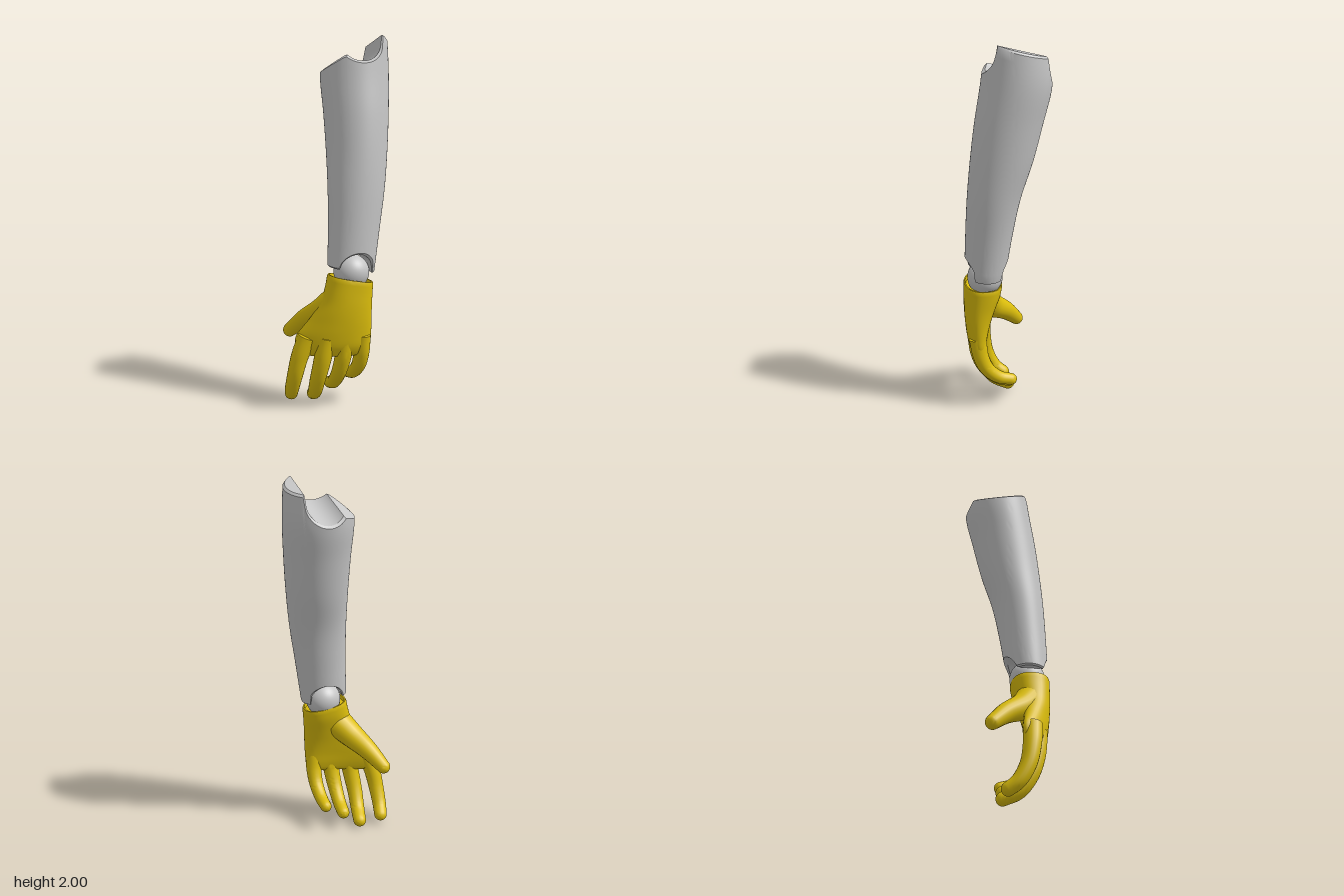
import * as THREE from 'three';
import { toCreasedNormals } from 'three/addons/utils/BufferGeometryUtils.js';

const V = (x, y, z) => new THREE.Vector3(x, y, z);

// Skin a list of equally long rows of points
function skin(rows, crease = 0.7) {
  const n = rows[0].length, index = [];
  for (let i = 0; i < rows.length - 1; i++) {
    for (let j = 0; j < n - 1; j++) {
      const a = i * n + j, b = a + 1, c = a + n, d = c + 1;
      index.push(a, b, c, b, d, c);
    }
  }
  const geo = new THREE.BufferGeometry().setFromPoints(rows.flat());
  geo.setIndex(index);
  return toCreasedNormals(geo, crease);
}

// Smoothly interpolate a table whose first column is y (descending)
function sample(table, y) {
  let i = 0;
  while (i < table.length - 2 && y < table[i + 1][0]) i++;
  const at = k => table[Math.min(Math.max(k, 0), table.length - 1)];
  const p = at(i), q = at(i + 1), o = at(i - 1), r = at(i + 2), h = q[0] - p[0];
  const t = THREE.MathUtils.clamp((y - p[0]) / h, 0, 1);
  return p.map((_, k) => {
    const m0 = (q[k] - o[k]) / (q[0] - o[0]) * h, m1 = (r[k] - p[k]) / (r[0] - p[0]) * h;
    const t2 = t * t, t3 = t2 * t;
    return (2 * t3 - 3 * t2 + 1) * p[k] + (t3 - 2 * t2 + t) * m0 + (3 * t2 - 2 * t3) * q[k] + (t3 - t2) * m1;
  });
}

// Forearm sections: y, min x, max x, min z, max z
const ARM = [
  [2.0, -0.06, 0.295, -0.215, 0.12],
  [1.8, -0.07, 0.3, -0.225, 0.145],
  [1.6, -0.064, 0.286, -0.18, 0.177],
  [1.4, -0.062, 0.267, -0.13, 0.2],
  [1.2, -0.067, 0.241, -0.068, 0.215],
  [1.0, -0.073, 0.208, -0.03, 0.222],
  [0.8, -0.083, 0.177, 0.0, 0.225],
  [0.74, -0.085, 0.168, 0.012, 0.222],
];

function armPoint(a, y, inset = 0) {
  const [, x0, x1, z0, z1] = sample(ARM, y);
  return V((x0 + x1) / 2 + ((x1 - x0) / 2 - inset) * Math.cos(a), y,
    (z0 + z1) / 2 + ((z1 - z0) / 2 - inset) * Math.sin(a));
}

// Elbow end: a round channel between a low and a high lobe, all tilted back
function elbowHeight(x, z) {
  let y;
  if (x < 0.025) y = 1.894 - 0.55 * (0.025 - x);
  else if (x < 0.219) y = 1.965 - Math.sqrt(0.0121 - (x - 0.11) ** 2);
  else y = 2.0 - 0.1 * (x - 0.22);
  return y + 0.23 * (z - 0.05);
}

// Wrist end: slightly slanted with an arch over the ball
function wristHeight(x) {
  const d = 0.0081 - (x - 0.048) ** 2;
  return d > 0 ? 0.775 + Math.sqrt(d) : 0.79 - 0.15 * (x + 0.085);
}

function forearmParts() {
  const us = [];
  for (let k = 0; k <= 40; k++) us.push(Math.cos(k * Math.PI / 40));
  for (const e of [0.555, -0.5, 0.7, -0.7]) us.push(e - 0.003, e, e + 0.003);
  us.sort((a, b) => b - a);
  const half = us.map(u => Math.acos(u));
  const angles = [...half, ...half.slice(0, -1).reverse().map(a => 2 * Math.PI - a)];
  const topRim = a => {
    const p = armPoint(a, 1.9, 0.013);
    p.y = elbowHeight(p.x, p.z);
    return p;
  };
  const bottomRim = a => {
    const p = armPoint(a, 0.79, 0.008);
    p.y = wristHeight(p.x);
    return p;
  };
  const rows = [angles.map(topRim)];
  for (let i = 0; i <= 28; i++) {
    rows.push(angles.map(a => armPoint(a,
      THREE.MathUtils.lerp(topRim(a).y - 0.012, bottomRim(a).y + 0.008, i / 28))));
  }
  rows.push(angles.map(bottomRim));
  return {
    shell: skin(rows, 0.6),
    elbow: skin(half.map(a => [topRim(a), topRim(-a)]), 0.5),
    wrist: skin(half.map(a => [bottomRim(-a), bottomRim(a)]), 0.5),
  };
}

// Palm sections: y, centre x, half width, centre z, half depth, bend
const PALM = [
  [0.725, 0.037, 0.122, 0.125, 0.104, 0],
  [0.66, 0.027, 0.127, 0.13, 0.098, 0.1],
  [0.58, 0.01, 0.138, 0.143, 0.085, 0.5],
  [0.5, -0.018, 0.163, 0.153, 0.072, 0.9],
  [0.42, -0.05, 0.192, 0.157, 0.06, 1],
  [0.36, -0.058, 0.194, 0.156, 0.05, 1],
  [0.32, -0.06, 0.175, 0.152, 0.036, 1],
];

function palmGeometry() {
  const ring = (y, scale = 1, drop = 0) => {
    const [, cx, w, cz, d, bend] = sample(PALM, y);
    const tilt = THREE.MathUtils.clamp((y - 0.45) / 0.27, 0, 1) * 0.19;
    return Array.from({ length: 41 }, (_, j) => {
      const c = Math.cos(j * Math.PI / 20), s = Math.sin(j * Math.PI / 20);
      const x = cx + w * scale * Math.sign(c) * Math.abs(c) ** 0.85;
      const z = cz + d * scale * Math.sign(s) * Math.abs(s) ** 0.85;
      return V(x, y - drop - tilt * (x - 0.037), z - bend * Math.min(x - 0.07, 0) ** 2);
    });
  };
  const rows = [ring(0.725, 0.001, 0.02), ring(0.725, 0.88, 0.02), ring(0.725, 0.91), ring(0.725, 0.97)];
  for (let i = 0; i <= 24; i++) rows.push(ring(0.715 - 0.395 * i / 24));
  rows.push(ring(0.32, 0.8, 0.012), ring(0.32, 0.001, 0.02));
  return skin(rows, 0.9);
}

// Tapered finger with round ends along a smooth path
function fingerGeometry(path, r0, r1) {
  const curve = new THREE.CatmullRomCurve3(path.map(p => V(...p)));
  const n = 36, frames = curve.computeFrenetFrames(n), length = curve.getLength();
  const rows = [];
  const ring = (i, r, shift) => {
    const p = curve.getPointAt(i / n).addScaledVector(frames.tangents[i], shift);
    rows.push(Array.from({ length: 21 }, (_, j) => {
      const a = j * Math.PI / 10;
      return p.clone().addScaledVector(frames.normals[i], r * Math.cos(a))
        .addScaledVector(frames.binormals[i], r * Math.sin(a));
    }));
  };
  ring(0, 0.0001, -0.01);
  for (let i = 0; i <= n; i++) ring(i, THREE.MathUtils.lerp(r0, r1, i / n), 0);
  for (let k = 1; k <= 6; k++) {
    const a = k * Math.PI / 12;
    ring(n, Math.max(r1 * Math.cos(a), 0.0001), Math.min(r1, length) * Math.sin(a));
  }
  return skin(rows, 0.9);
}

const FINGERS = {
  indexFinger: [[[-0.195, 0.41, 0.092], [-0.235, 0.3, 0.08], [-0.255, 0.19, 0.055], [-0.258, 0.1, 0.005], [-0.248, 0.062, -0.042]], 0.052, 0.036],
  middleFinger: [[[-0.1, 0.41, 0.137], [-0.122, 0.28, 0.125], [-0.136, 0.17, 0.09], [-0.133, 0.085, 0.03], [-0.12, 0.047, -0.046]], 0.052, 0.036],
  ringFinger: [[[0, 0.41, 0.158], [-0.012, 0.29, 0.143], [-0.022, 0.2, 0.105], [-0.026, 0.13, 0.035], [-0.026, 0.105, -0.032]], 0.05, 0.034],
  littleFinger: [[[0.09, 0.42, 0.165], [0.093, 0.31, 0.147], [0.09, 0.235, 0.112], [0.082, 0.178, 0.045], [0.076, 0.157, -0.025]], 0.048, 0.032],
  thumb: [[[-0.04, 0.6, 0.11], [-0.1, 0.54, 0.055], [-0.17, 0.475, -0.04], [-0.232, 0.4, -0.118]], 0.082, 0.038],
};

export function createModel() {
  const grey = new THREE.MeshStandardMaterial({ color: 0xc6c6c6 });
  grey.name = 'light grey';
  const yellow = new THREE.MeshStandardMaterial({ color: 0xdcbe0c });
  yellow.name = 'yellow';
  const model = new THREE.Group();
  model.name = 'arm';
  const add = (parent, name, geometry, material) => {
    const mesh = new THREE.Mesh(geometry, material);
    mesh.name = name;
    parent.add(mesh);
    return mesh;
  };

  // Forearm with its two shaped ends
  const parts = forearmParts();
  add(model, 'forearmShell', parts.shell, grey);
  add(model, 'elbowSocket', parts.elbow, grey);
  add(model, 'wristSocket', parts.wrist, grey);

  // Wrist ball
  add(model, 'wristBall', new THREE.SphereGeometry(0.096, 36, 24), grey).position.set(0.046, 0.755, 0.115);

  // Hand
  const hand = new THREE.Group();
  hand.name = 'hand';
  model.add(hand);
  add(hand, 'palm', palmGeometry(), yellow);
  for (const [name, args] of Object.entries(FINGERS)) add(hand, name, fingerGeometry(...args), yellow);
  return model;
}
